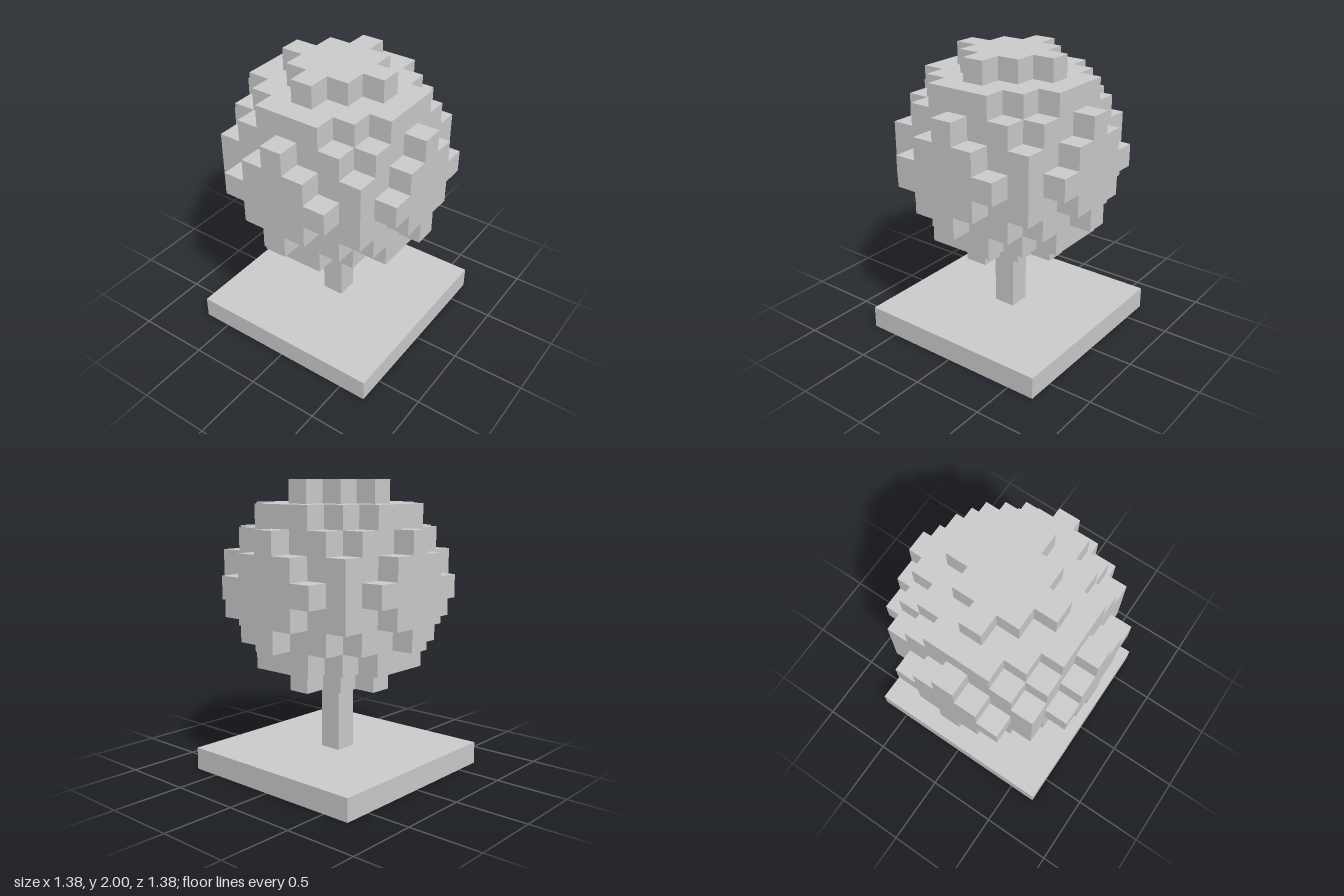
import * as THREE from 'three';
import { mergeGeometries } from 'three/addons/utils/BufferGeometryUtils.js';

const U = 2 / 13;      // edge of one cube
const R2 = 20;         // squared crown radius, in cubes
const REACH = 4;       // furthest cube from the crown centre

const material = new THREE.MeshStandardMaterial({ color: 0xcccccc, flatShading: true });

function box(name, width, height, bottom) {
  const mesh = new THREE.Mesh(new THREE.BoxGeometry(width * U, height * U, width * U), material);
  mesh.name = name;
  mesh.position.y = (bottom + height / 2) * U;
  return mesh;
}

const filled = (x, y, z) => x * x + y * y + z * z <= R2;

// One cube side per direction, already turned and pushed outwards
const sides = [
  [1, 0, 0], [-1, 0, 0], [0, 1, 0], [0, -1, 0], [0, 0, 1], [0, 0, -1],
].map((dir) => {
  const normal = new THREE.Vector3(...dir);
  const turn = new THREE.Quaternion().setFromUnitVectors(new THREE.Vector3(0, 0, 1), normal);
  const geometry = new THREE.PlaneGeometry(U, U).applyQuaternion(turn);
  geometry.translate(...normal.multiplyScalar(U / 2).toArray());
  return { dir, geometry };
});

// Ball of cubes, keeping only the sides that face open air
function crownGeometry() {
  const faces = [];
  for (let x = -REACH; x <= REACH; x++)
    for (let y = -REACH; y <= REACH; y++)
      for (let z = -REACH; z <= REACH; z++) {
        if (!filled(x, y, z)) continue;
        for (const { dir, geometry } of sides) {
          if (filled(x + dir[0], y + dir[1], z + dir[2])) continue;
          faces.push(geometry.clone().translate(x * U, y * U, z * U));
        }
      }
  return mergeGeometries(faces);
}

export function createModel() {
  const tree = new THREE.Group();
  tree.name = 'blockTree';

  // Square ground slab and thin trunk
  tree.add(box('groundSlab', 9, 1, 0), box('trunk', 1, 3, 1));

  // Round stepped crown
  const crown = new THREE.Mesh(crownGeometry(), material);
  crown.name = 'crown';
  crown.position.y = 8.5 * U;
  tree.add(crown);

  return tree;
}
